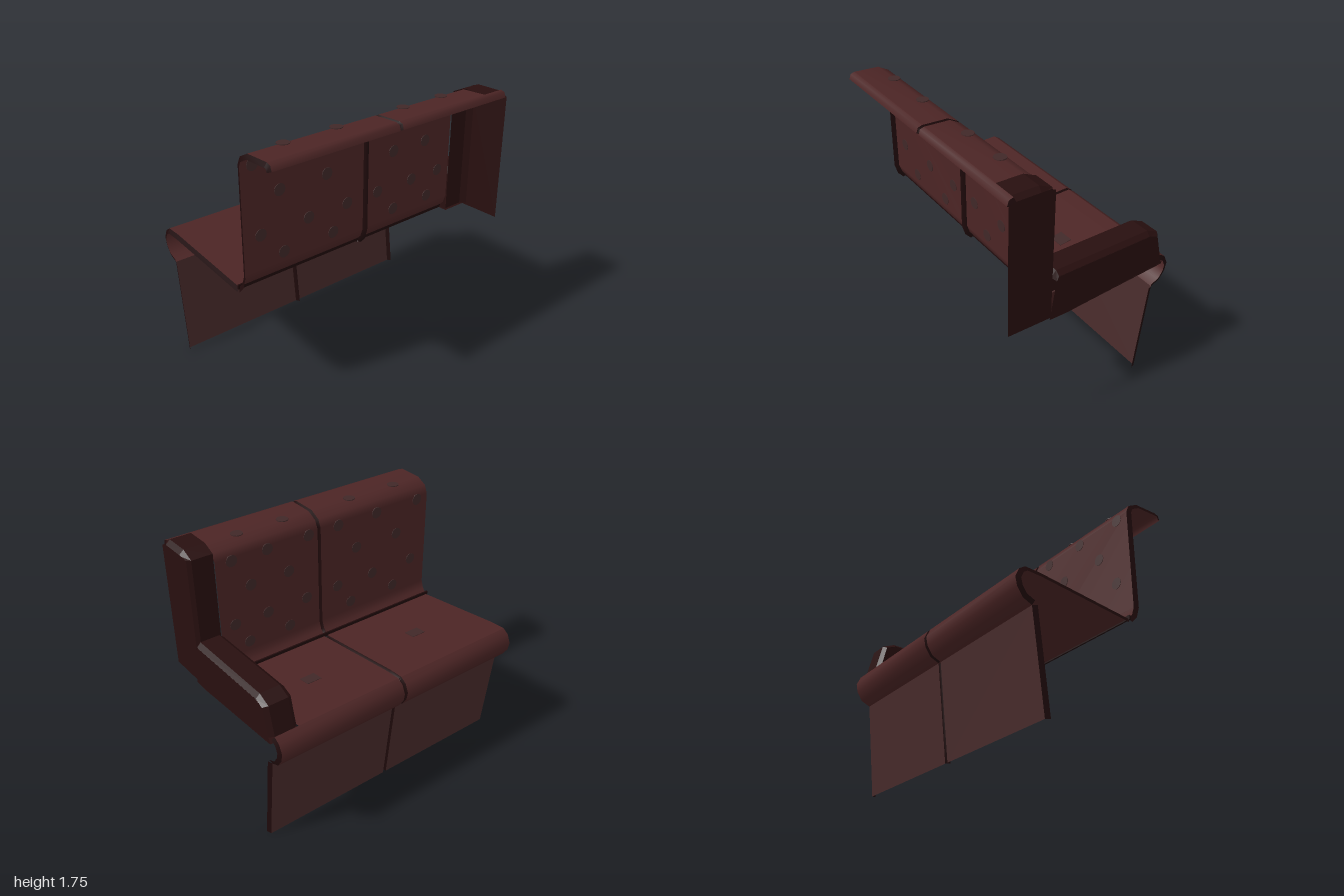
import * as THREE from 'three';

const mat = (name, color) => {
  const m = new THREE.MeshStandardMaterial({ color, side: THREE.DoubleSide });
  m.name = name;
  return m;
};

// Shift a (z, y) profile along its inward normal
function inset(profile, d) {
  return profile.map(([z, y], i) => {
    const a = profile[Math.max(i - 1, 0)], b = profile[Math.min(i + 1, profile.length - 1)];
    const tz = b[0] - a[0], ty = b[1] - a[1], l = Math.hypot(tz, ty);
    return [z + (ty / l) * d, y - (tz / l) * d];
  });
}

// Sweep a (z, y) profile across stations of [x, inset]
function sweep(profile, stations, flat = false) {
  const pos = [], idx = [], n = profile.length;
  for (const [x, d] of stations) for (const [z, y] of inset(profile, d)) pos.push(x, y, z);
  for (let s = 0; s < stations.length - 1; s++) {
    for (let i = 0; i < n - 1; i++) {
      const a = s * n + i, b = a + n;
      idx.push(a, a + 1, b, b, a + 1, b + 1);
    }
  }
  let g = new THREE.BufferGeometry();
  g.setAttribute('position', new THREE.Float32BufferAttribute(pos, 3));
  g.setIndex(idx);
  if (flat) g = g.toNonIndexed();
  g.computeVertexNormals();
  return g;
}

// Flat side wall from a (z, y) outline
function wall(outline, x) {
  const g = new THREE.ShapeGeometry(new THREE.Shape(outline.map(p => new THREE.Vector2(...p))));
  return g.rotateY(-Math.PI / 2).translate(x, 0, 0);
}

export function createModel() {
  const group = new THREE.Group();
  const fabric = mat('redFabric', 0x4c2525);
  const skirtMat = mat('skirtFabric', 0x482b2b);
  const armMat = mat('darkArm', 0x280f0f);
  const trim = mat('darkTrim', 0x1f0a0b);
  const spotMat = mat('spotFabric', 0x402828);
  const add = (name, geo, m) => {
    const mesh = new THREE.Mesh(geo, m);
    mesh.name = name;
    group.add(mesh);
    return mesh;
  };

  // Upholstery profiles, (z, y)
  const skirt = [[-0.44, 0.01], [-0.515, 0.68]];
  const roll = [[-0.515, 0.68], [-0.58, 0.71], [-0.62, 0.77], [-0.632, 0.83], [-0.605, 0.89], [-0.56, 0.92]];
  const seat = [[-0.56, 0.92], [-0.45, 0.915], [0.25, 0.83]];
  const back = [[0.25, 0.83], [0.29, 0.87], [0.31, 0.93], [0.31, 1.66], [0.335, 1.715], [0.41, 1.755], [0.59, 1.76]];
  const lip = [[0.59, 1.76], [0.62, 1.75], [0.632, 1.715]];
  const parts = [['skirt', skirt, skirtMat, 0.985], ['seatRoll', roll, fabric, 0.985],
    ['seat', seat, fabric, 0.8], ['backrest', back, fabric, 0.8], ['topLip', lip, fabric, 0.985]];

  const seam = -0.007, e = 0.013, depth = 0.032;
  for (const [name, profile, m, end] of parts) {
    const open = end > 0.9;
    add(name + 'RightPanel', sweep(profile, [[-1 + e, 0], [seam - e, 0]]), m);
    add(name + 'LeftPanel', sweep(profile, [[seam + e, 0], [open ? end - e : end, 0]]), m);
    // Turned-in dark edges and centre groove
    add(name + 'RightEdge', sweep(profile, [[-1, depth], [-1 + e, 0]]), trim);
    add(name + 'Groove', sweep(profile, [[seam - e, 0], [seam, depth], [seam + e, 0]]), trim);
    if (open) add(name + 'LeftEdge', sweep(profile, [[end - e, 0], [end, depth]]), trim);
  }
  // Dark crease between seat and backrest
  const crease = add('rearCrease', new THREE.BoxGeometry(1.8, 0.03, 0.012), trim);
  crease.position.set(-0.1, 0.837, 0.257);

  // Arm with tall end column, open at the rear
  const armTop = [[-0.56, 0.92], [-0.51, 1.12], [-0.42, 1.16], [0.285, 1.15], [0.32, 1.11]];
  const column = [[0.32, 0.83], [0.32, 1.72], [0.41, 1.76], [0.59, 1.76]];
  const section = [[1.0, 0.03], [0.97, 0], [0.83, 0], [0.8, 0.025]];
  const columnSection = [[0.985, 0.035], [0.95, 0], [0.8, 0]];
  add('armCover', sweep(armTop, section, true), armMat);
  add('columnCover', sweep(column, columnSection, true), armMat);
  add('armUnderside', sweep([[-0.56, 0.88], [0.2, 0.815], [0.32, 0.815]], [[0.8, 0], [1, 0]]), armMat);
  const armSide = inset(armTop, 0.028);
  add('armInnerSide', wall([[-0.555, 0.88], ...armSide, [0.32, 0.82]], 0.8), armMat);
  add('armOuterSide', wall([[-0.555, 0.87], ...armSide, [0.34, 0.815], [0.2, 0.815]], 0.999), armMat);
  add('columnOuterSide', wall([[0.32, 0.815], [0.32, 1.72], [0.35, 1.735],
    [0.6, 1.735], [0.632, 1.715], [0.632, 0.815]], 0.985), armMat);

  // Round spots, thin enough to show on both faces of the backrest
  const rows = [[1.635, [-0.89, -0.51, -0.17, 0.08, 0.41, 0.68]], [1.42, [-0.7, -0.33, 0.25, 0.55]],
    [1.165, [-0.85, -0.48, -0.16, 0.11, 0.43, 0.69]], [0.995, [-0.68, -0.28, 0.26, 0.59]]];
  const disc = new THREE.CylinderGeometry(0.042, 0.042, 0.006, 12);
  for (const [y, xs] of rows) {
    for (const x of xs) {
      const s = add('backSpot', disc, spotMat);
      s.rotation.x = Math.PI / 2;
      s.position.set(x, y, 0.31);
    }
  }
  for (const x of [-0.74, -0.34, 0.22, 0.57]) add('topSpot', disc, spotMat).position.set(x, 1.757, 0.41);
  for (const x of [-0.49, 0.43]) {
    const s = add('seatPatch', new THREE.BoxGeometry(0.11, 0.006, 0.09), spotMat);
    s.position.set(x, 0.881, -0.17);
    s.rotation.x = 0.121;
  }
  return group;
}
